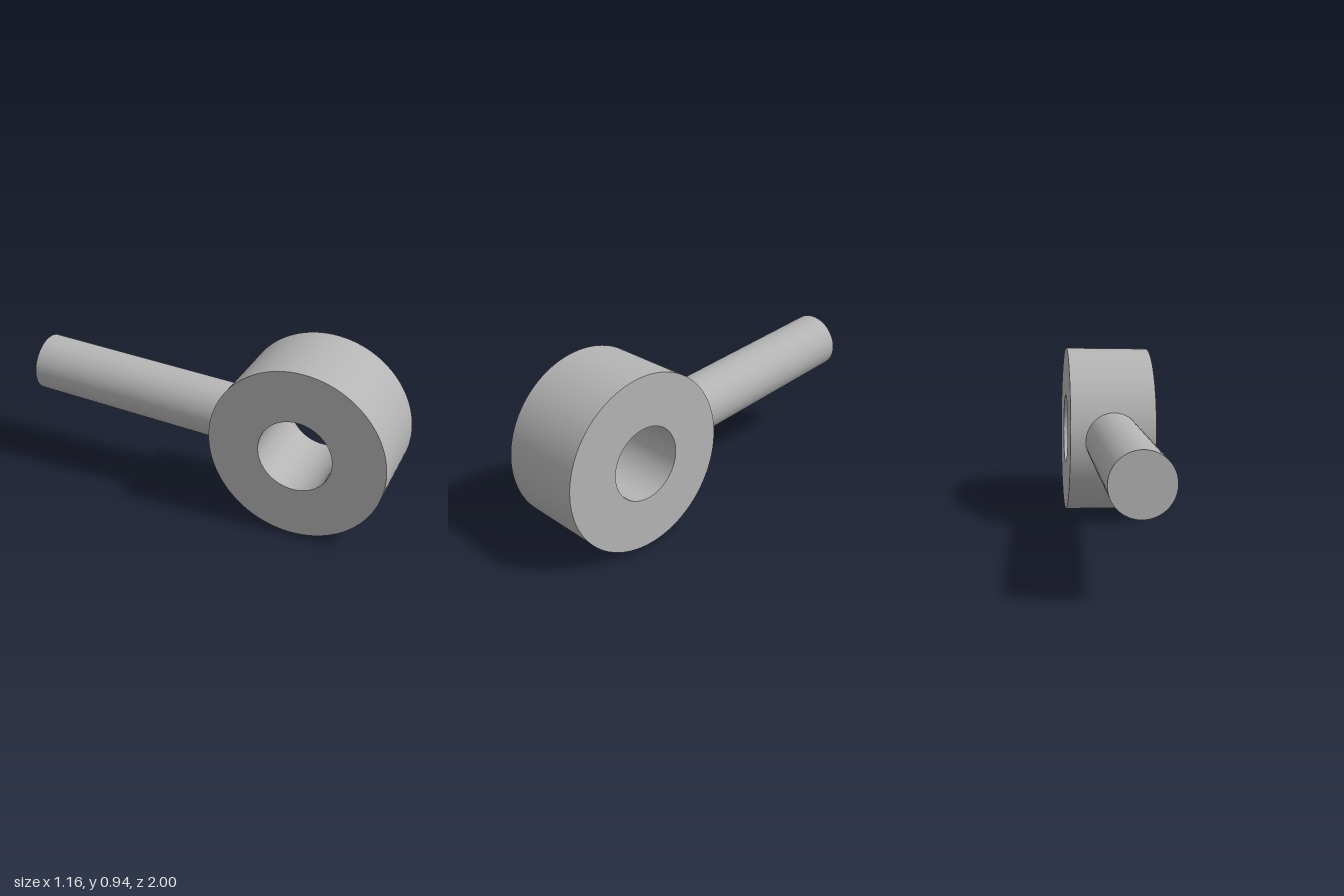
import * as THREE from 'three';
import { toCreasedNormals } from 'three/addons/utils/BufferGeometryUtils.js';

export function createModel() {
  const group = new THREE.Group();
  group.name = 'rodEnd';
  const steel = new THREE.MeshStandardMaterial({ color: 0xb4b4b4 });
  steel.name = 'steel grey';

  // Centre of the eye, its bore axis, and the far end of the shank
  const eyeCentre = new THREE.Vector3(0.181, 0.471, 0.481);
  const boreAxis = new THREE.Vector3(0.425, 0.0115, -0.183).normalize();
  const shankEnd = new THREE.Vector3(-0.443, 0.576, -0.939);
  const width = 0.463;

  // Thick ring with a through bore
  const shape = new THREE.Shape();
  shape.absarc(0, 0, 0.466, 0, Math.PI * 2, false);
  const bore = new THREE.Path();
  bore.absarc(0, 0, 0.195, 0, Math.PI * 2, true);
  shape.holes.push(bore);
  const ringGeometry = new THREE.ExtrudeGeometry(shape, {
    depth: width, bevelEnabled: false, curveSegments: 96,
  });
  ringGeometry.translate(0, 0, -width / 2);
  const ring = new THREE.Mesh(toCreasedNormals(ringGeometry, 0.5), steel);
  ring.name = 'eyeRing';
  ring.position.copy(eyeCentre);
  ring.quaternion.setFromUnitVectors(new THREE.Vector3(0, 0, 1), boreAxis);
  group.add(ring);

  // Round shank, rooted inside the ring wall and clear of the bore
  const direction = shankEnd.clone().sub(eyeCentre);
  const reach = direction.length();
  direction.normalize();
  const root = 0.36;
  const shank = new THREE.Mesh(
    new THREE.CylinderGeometry(0.153, 0.153, reach - root, 72), steel);
  shank.name = 'shank';
  shank.position.copy(eyeCentre).addScaledVector(direction, (reach + root) / 2);
  shank.quaternion.setFromUnitVectors(new THREE.Vector3(0, 1, 0), direction);
  group.add(shank);

  return group;
}
